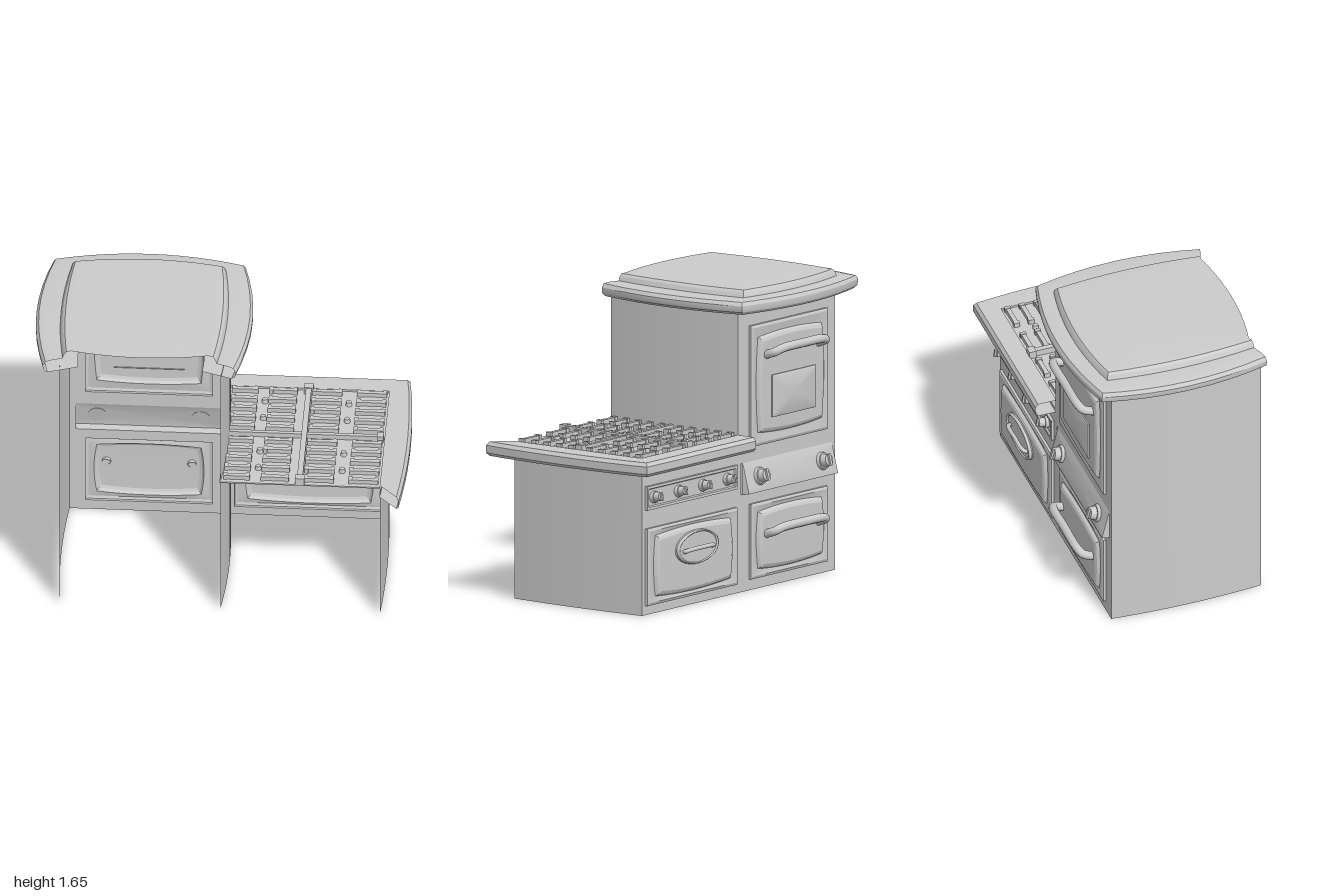
import * as THREE from 'three';
import { toCreasedNormals } from 'three/addons/utils/BufferGeometryUtils.js';

const material = new THREE.MeshStandardMaterial({ color: 0xcccccc, side: THREE.DoubleSide });
const FRONT = -0.405; // plane of the door side, which looks toward -z
const lerp = THREE.MathUtils.lerp;

function add(parent, name, geometry, x = 0, y = 0, z = 0) {
  const mesh = new THREE.Mesh(geometry, material);
  mesh.name = name;
  mesh.position.set(x, y, z);
  parent.add(mesh);
  return mesh;
}

const box = (p, name, w, h, d, x, y, z) => add(p, name, new THREE.BoxGeometry(w, h, d), x, y, z);

// Skin over rows of equal length; optionally closed around and capped at the last row
function loft(rows, { closed = false, cap = null, crease = 0.5 } = {}) {
  const n = rows[0].length;
  const pos = rows.flat(2);
  const idx = [];
  for (let r = 0; r < rows.length - 1; r++) {
    for (let i = 0; i < (closed ? n : n - 1); i++) {
      const a = r * n + i, b = r * n + (i + 1) % n;
      idx.push(a, a + n, b, b, a + n, b + n);
    }
  }
  if (cap) {
    const base = (rows.length - 1) * n;
    pos.push(...cap);
    for (let i = 0; i < n; i++) idx.push(base + i, rows.length * n, base + (i + 1) % n);
  }
  const g = new THREE.BufferGeometry();
  g.setAttribute('position', new THREE.Float32BufferAttribute(pos, 3));
  g.setIndex(idx);
  g.computeVertexNormals();
  return toCreasedNormals(g, crease);
}

// Rectangle with outward bowed sides; z may depend on height
function outline(w, h, bow, z) {
  const pts = [], n = 8;
  for (let side = 0; side < 4; side++) {
    for (let i = 0; i < n; i++) {
      const s = (i / n) * 2 - 1, b = bow * (1 - s * s);
      const [x, y] = [
        [s * w / 2, -h / 2 - b], [w / 2 + b, s * h / 2],
        [-s * w / 2, h / 2 + b], [-w / 2 - b, -s * h / 2]][side];
      pts.push([x, y, typeof z === 'function' ? z(y) : z]);
    }
  }
  return pts;
}

// Framed door with a barrel-shaped raised cushion
function door(parent, name, x, y, w, h, cw, ch) {
  const g = new THREE.Group();
  g.name = name;
  g.position.set(x, y, FRONT);
  parent.add(g);
  add(g, 'doorPanel', loft([
    outline(w, h, 0, 0), outline(w, h, 0, -0.014), outline(w - 0.03, h - 0.03, 0, -0.02),
    outline(cw + 0.02, ch + 0.02, 0.015, -0.014), outline(cw, ch, 0.015, -0.03),
    outline(cw - 0.03, ch - 0.03, 0.015, -0.037),
  ], { closed: true, cap: [0, 0, -0.04], crease: 0.3 }));
  return g;
}

// Arched bar handle standing off the door
function handle(parent, y, w, reach, r, droop) {
  const pts = [[-1, -droop, 0], [-0.97, -droop * 0.5, -0.75], [-0.8, -0.1 * droop, -1], [0, 0, -1.03],
    [0.8, -0.1 * droop, -1], [0.97, -droop * 0.5, -0.75], [1, -droop, 0]]
    .map(([a, b, c]) => new THREE.Vector3(a * w / 2, b, -0.03 + c * reach));
  add(parent, 'handle', new THREE.TubeGeometry(new THREE.CatmullRomCurve3(pts), 36, r, 10), 0, y, 0);
}

function knob(parent, x, y, z, r, tilt) {
  const g = new THREE.Group();
  g.name = 'knob';
  g.position.set(x, y, z);
  g.rotation.x = -Math.PI / 2 + tilt;
  add(g, 'knobCollar', new THREE.CylinderGeometry(r * 0.9, r, 0.02, 20), 0, 0.01, 0);
  add(g, 'knobCap', new THREE.CylinderGeometry(r * 0.65, r * 0.75, 0.035, 20), 0, 0.035, 0);
  box(g, 'knobGrip', r * 0.35, 0.015, r * 1.3, 0, 0.056, 0);
  parent.add(g);
}

// Flat front sheet with rectangular openings [x0, x1, y0, y1]
function frontSheet(parent, x0, x1, top, holes) {
  const rect = (P, [a, b, c, d]) => {
    const p = new P();
    p.moveTo(a, c); p.lineTo(b, c); p.lineTo(b, d); p.lineTo(a, d); p.closePath();
    return p;
  };
  const s = rect(THREE.Shape, [x0, x1, 0, top]);
  s.holes = holes.map(h => rect(THREE.Path, h));
  add(parent, 'frontSheet', new THREE.ShapeGeometry(s), 0, 0, FRONT);
}

// Side wall, gently bowed along its depth
function sideWall(parent, x, bow, top) {
  const rows = [0, top].map(y => Array.from({ length: 13 }, (_, i) => {
    const s = i / 6 - 1;
    return [x + bow * (1 - s * s), y, lerp(FRONT, 0.45, i / 12)];
  }));
  add(parent, 'sideWall', loft(rows));
}

// Moulding: each station is [inner xz, outer xz]; profile is [inner-to-outer fraction, height]
const moulding = (stations, profile) => profile.map(([t, y]) =>
  stations.map(([a, b]) => [lerp(a[0], b[0], t), y, lerp(a[1], b[1], t)]));

function tallOven(root) {
  const g = new THREE.Group();
  g.name = 'tallOven';
  root.add(g);
  const cx = -0.43;
  frontSheet(g, -0.855, 0.005, 1.54, [[-0.77, -0.09, 0.78, 1.44], [-0.82, -0.02, 0.53, 0.7], [-0.77, -0.09, 0.06, 0.47]]);
  sideWall(g, -0.855, -0.02, 1.54);
  sideWall(g, 0.005, 0.025, 1.54);

  const upper = door(g, 'upperDoor', cx, 1.11, 0.68, 0.66, 0.54, 0.5);
  handle(upper, 0.2, 0.46, 0.075, 0.024, 0.04);
  add(upper, 'window', loft([outline(0.38, 0.23, 0, -0.03), outline(0.38, 0.23, 0, -0.046),
    outline(0.35, 0.2, 0, -0.052)], { closed: true, cap: [0, 0, -0.052] }), 0, -0.07, 0);
  const lower = door(g, 'lowerDoor', cx, 0.265, 0.68, 0.41, 0.54, 0.29);
  handle(lower, 0.07, 0.46, 0.075, 0.024, 0.04);

  // Slanted control panel
  const slant = y => -0.022 + 0.25 * y;
  add(g, 'controlPanel', loft([outline(0.8, 0.17, 0, 0), outline(0.79, 0.16, 0, slant),
    outline(0.76, 0.13, 0, y => slant(y) - 0.003)], { closed: true, cap: [0, 0, -0.025] }), cx, 0.615, FRONT);
  for (const s of [-1, 1]) knob(g, cx + s * 0.277, 0.615, FRONT - 0.022, 0.05, 0.25);

  // Bowed cornice running round three sides, rising to the lid
  const stations = [];
  const side = s => Array.from({ length: 9 }, (_, i) => {
    const u = i / 4 - 1, b = 1 - u * u;
    return [[cx + s * (0.37 + 0.02 * b), lerp(0.4, -0.395, i / 8)],
      [cx + s * (0.515 + 0.065 * b), lerp(0.45, -0.49, i / 8)]];
  });
  stations.push(...side(-1));
  for (let i = 1; i < 12; i++) {
    const u = i / 6 - 1, b = 1 - u * u;
    stations.push([[cx + u * 0.37, -0.395 - 0.035 * b], [cx + u * 0.515, -0.49 - 0.078 * b]]);
  }
  stations.push(...side(1).reverse());
  const rows = moulding(stations, [[-0.25, 1.53], [0.85, 1.53], [0.97, 1.545], [1, 1.56], [1, 1.58],
    [0.92, 1.6], [0.75, 1.605], [0.3, 1.605], [0.24, 1.63], [0.16, 1.643], [0, 1.645]]);
  add(g, 'cornice', loft(rows, { crease: 0.4 }));
  const rim = rows[rows.length - 1].slice();
  for (let i = 1; i < 10; i++) {
    const u = 1 - i / 5;
    rim.push([cx + u * 0.37, 1.645, 0.4 + 0.04 * (1 - u * u)]);
  }
  add(g, 'lid', loft([rim], { closed: true, cap: [cx, 1.652, 0] }));
}

function cooktop(root) {
  const g = new THREE.Group();
  g.name = 'cooktop';
  root.add(g);
  const cx = 0.43;
  frontSheet(g, 0.005, 0.86, 0.8, [[0.03, 0.83, 0.57, 0.7], [0.03, 0.83, 0.05, 0.47]]);
  sideWall(g, 0.86, 0.015, 0.8);

  const oven = door(g, 'wideDoor', cx, 0.26, 0.8, 0.42, 0.64, 0.31);
  const oval = add(oven, 'ovalPlate', new THREE.CylinderGeometry(0.17, 0.185, 0.015, 32), 0, 0.06, -0.045);
  oval.rotation.x = -Math.PI / 2;
  oval.scale.z = 0.5;
  const ring = add(oven, 'ovalRim', new THREE.TorusGeometry(0.172, 0.01, 8, 32), 0, 0.06, -0.05);
  ring.scale.y = 0.5;
  handle(oven, 0.06, 0.25, 0.045, 0.012, 0.015);

  add(g, 'knobPanel', loft([outline(0.8, 0.13, 0, 0), outline(0.8, 0.13, 0, -0.015),
    outline(0.77, 0.1, 0, -0.015), outline(0.76, 0.09, 0, -0.006)],
  { closed: true, cap: [0, 0, -0.006] }), cx, 0.635, FRONT);
  for (let i = 0; i < 4; i++) knob(g, 0.115 + i * 0.217, 0.635, FRONT - 0.006, 0.034, 0.15);

  // Moulded edge along the door side and the outer side
  const stations = [[[0, -0.4], [0, -0.52]], [[0.86, -0.4], [0.965, -0.52]]];
  for (let i = 1; i <= 10; i++) {
    const u = i / 5 - 1;
    stations.push([[0.86, lerp(-0.4, 0.45, i / 10)], [0.967 + 0.033 * (1 - u * u), lerp(-0.52, 0.56, i / 10)]]);
  }
  add(g, 'deckEdge', loft(moulding(stations, [[-0.03, 0.78], [0.88, 0.78], [1, 0.797], [1, 0.838],
    [0.88, 0.858], [0, 0.858], [0, 0.84]]), { crease: 0.4 }));
  box(g, 'deckPlate', 0.86, 0.008, 0.85, cx, 0.842, 0.025);

  // Grates: four columns of short bars, divided by a cross
  for (const [x, w] of [[0.09, 0.14], [0.295, 0.15], [0.53, 0.16], [0.77, 0.16]]) {
    for (let i = 0; i < 10; i++) {
      const z = (i < 5 ? -0.37 : -0.335) + i * 0.083;
      box(g, 'grateBar', w, 0.024, 0.024, x, 0.858, z);
      for (const s of [-1, 1]) box(g, 'grateFoot', 0.02, 0.03, 0.034, x + s * (w / 2 - 0.01), 0.858, z);
    }
  }
  box(g, 'grateSpine', 0.03, 0.035, 0.83, cx, 0.865, 0.025);
  box(g, 'grateCrossbar', 0.83, 0.028, 0.022, cx, 0.86, 0.022);
  for (const z of [-0.385, 0.435]) box(g, 'spineEnd', 0.05, 0.045, 0.04, cx, 0.866, z);
  box(g, 'crossbarEnd', 0.035, 0.04, 0.045, 0.838, 0.862, 0.022);
  for (const x of [0.2, 0.65]) {
    for (const z of [-0.28, -0.13, 0.17, 0.32]) {
      add(g, 'burnerStud', new THREE.CylinderGeometry(0.014, 0.018, 0.025, 12), x, 0.856, z);
    }
  }
}

export function createModel() {
  const root = new THREE.Group();
  root.name = 'kitchenRange';
  tallOven(root);
  cooktop(root);
  return root;
}
